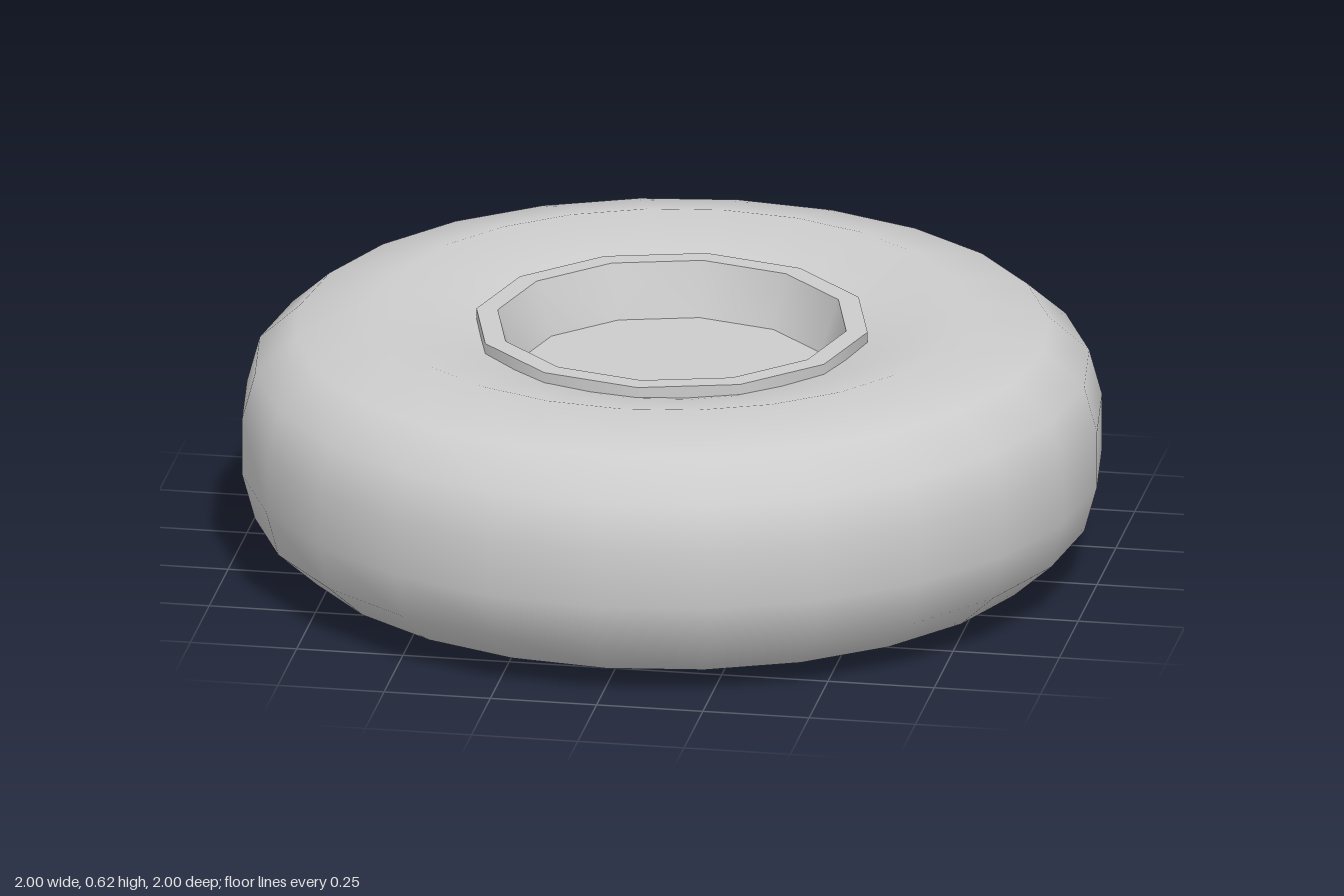
import * as THREE from 'three';
import { toCreasedNormals } from 'three/addons/utils/BufferGeometryUtils.js';

const grey = new THREE.MeshStandardMaterial({ color: 0xcccccc });
grey.name = 'light grey';

// Spins a [radius, height] profile, listed from the bottom up along the outside.
function spin(name, profile, sides, creased) {
  const points = profile.map(([r, y]) => new THREE.Vector2(r, y));
  let geometry = new THREE.LatheGeometry(points, sides);
  if (creased) geometry = toCreasedNormals(geometry, 0.6);
  const mesh = new THREE.Mesh(geometry, grey);
  mesh.name = name;
  return mesh;
}

export function createModel() {
  const group = new THREE.Group();
  group.name = 'wheel';

  // Rounded tyre: lower half of the section, mirrored about its mid height
  const height = 0.615;
  const lower = [[0.43, 0.06], [0.485, 0.045], [0.68, 0], [0.875, 0.045], [0.97, 0.13], [1, 0.24]];
  const upper = lower.map(([r, y]) => [r, height - y]).reverse();
  group.add(spin('tyre', [...lower, ...upper], 24, false));

  // Twelve-sided rim with a shallow dish above and a deeper one below
  group.add(spin('rim', [
    [0, 0.22], [0.365, 0.22], [0.405, 0.028], [0.46, 0.028],
    [0.46, 0.588], [0.41, 0.588], [0.365, 0.463], [0, 0.463],
  ], 12, true));

  // Tapered hub under the rim
  group.add(spin('hub', [[0, 0.14], [0.108, 0.14], [0.142, 0.22]], 12, true));

  return group;
}
